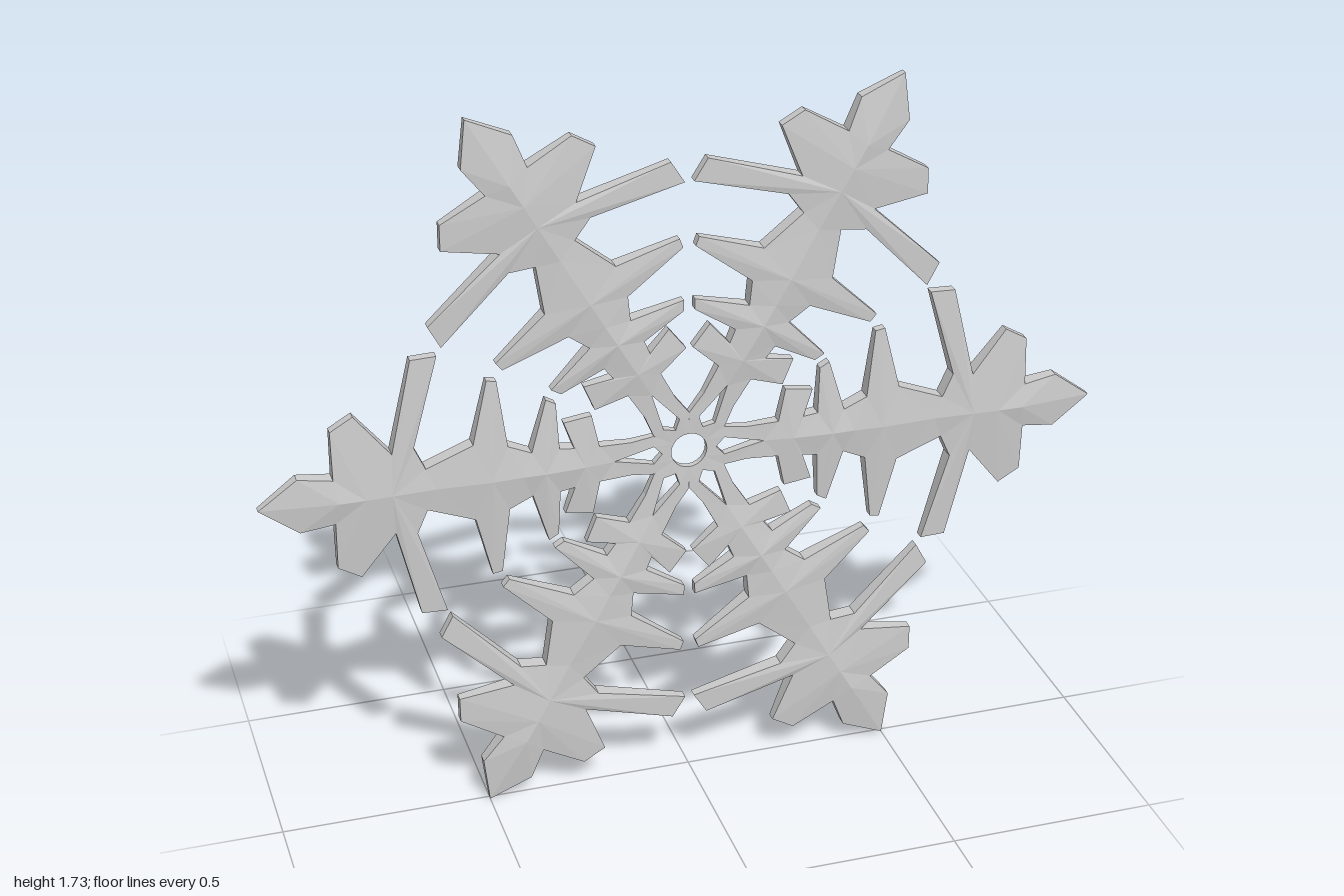
import * as THREE from 'three';

// Half of one arm as fans. Each fan has a ridge point and the rim points it spans,
// all as [distance from centre, sideways offset, half thickness], running tip to hub.
const TIP = [1, 0, 0.01];
const N1 = [0.83, 0.055, 0.019], N2 = [0.695, 0.1, 0.019], N3 = [0.62, 0.052, 0.019];
const N4 = [0.51, 0.095, 0.019], N5 = [0.43, 0.08, 0.019], N6 = [0.375, 0.055, 0.018];
const N7 = [0.31, 0.055, 0.017], N8 = [0.275, 0.05, 0.016], N9 = [0.215, 0.045, 0.014];
const CROTCH = [0.085, 0.049, 0.009];

const FANS = [
  { ridge: [0.82, 0, 0.03], rim: [TIP, [0.91, 0.067, 0.014], N1] },                       // tip
  { ridge: [0.76, 0, 0.03], rim: [N1, [0.83, 0.172, 0.012], [0.777, 0.203, 0.012], N2] }, // short outer barb
  { ridge: [0.7, 0, 0.028], rim: [N2, [0.643, 0.322, 0.012], [0.583, 0.324, 0.012], [0.645, 0.108, 0.019], N3] }, // long barb
  { ridge: [0.6, 0, 0.024], rim: [N3, N4] },                                             // neck
  { ridge: [0.47, 0, 0.03], rim: [N4, [0.473, 0.247, 0.011], [0.45, 0.243, 0.011], N5] }, // middle barb
  { ridge: [0.4, 0, 0.027], rim: [N5, N6] },
  { ridge: [0.345, 0, 0.028], rim: [N6, [0.338, 0.18, 0.011], [0.315, 0.167, 0.011], N7] }, // inner barb
  { ridge: [0.25, 0, 0.022], rim: [N7, N8, [0.298, 0.116, 0.011], [0.232, 0.125, 0.011], N9] }, // smallest barb
  { ridge: [0.18, 0, 0.013], rim: [N9, [0.14, 0.042, 0.011], CROTCH] },                   // root above the slot
];

// Hub strip beside the slot
const SLOT = [0.085, 0.022, 0.01];
const SLOT_END = [0.065, 0, 0.009];
const HOLE = [[0.037, 0.0215, 0.008], [0.0415, 0.011, 0.008], [0.043, 0, 0.008]];

function armGeometry() {
  const pos = [];
  const tri = (a, b, c, flip) => (flip ? [a, c, b] : [a, b, c]).forEach((p) => pos.push(...p));
  const at = (p, side, face) => [p[0], p[1] * side, p[2] * face];

  for (const side of [1, -1]) {
    // Front and back facets
    const facet = (a, b, c) => {
      for (const face of [1, -1]) {
        tri(at(a, side, face), at(b, side, face), at(c, side, face), side * face < 0);
      }
    };
    // Wall along the outline from a to b
    const wall = (a, b) => {
      const flip = side < 0;
      const [a0, b0, b1, a1] = [at(a, side, -1), at(b, side, -1), at(b, side, 1), at(a, side, 1)];
      tri(a0, b0, b1, flip);
      tri(a0, b1, a1, flip);
    };
    const fan = (centre, rim) => {
      for (let i = 0; i + 1 < rim.length; i++) facet(centre, rim[i], rim[i + 1]);
    };
    const walls = (rim) => {
      for (let i = 0; i + 1 < rim.length; i++) wall(rim[i], rim[i + 1]);
    };

    FANS.forEach(({ ridge, rim }, i) => {
      fan(ridge, rim);
      walls(rim);
      const next = FANS[i + 1];
      if (next) facet(ridge, rim[rim.length - 1], next.ridge);
    });

    const slotTip = FANS[FANS.length - 1].ridge;
    facet(slotTip, CROTCH, SLOT);
    fan(SLOT, [CROTCH, ...HOLE, SLOT_END]);
    walls(HOLE);
    walls([SLOT_END, SLOT, slotTip]);
  }

  const geo = new THREE.BufferGeometry();
  geo.setAttribute('position', new THREE.Float32BufferAttribute(pos, 3));
  geo.computeVertexNormals();
  return geo;
}

export function createModel() {
  const model = new THREE.Group();
  model.name = 'snowflake';
  const material = new THREE.MeshStandardMaterial({ color: 0xcccccc, flatShading: true });
  const geo = armGeometry();

  // Six equal arms around the centre
  for (let i = 0; i < 6; i++) {
    const arm = new THREE.Mesh(geo, material);
    arm.name = `arm${i + 1}`;
    arm.rotation.z = (i * Math.PI) / 3;
    arm.position.y = 0.87;
    model.add(arm);
  }
  return model;
}
